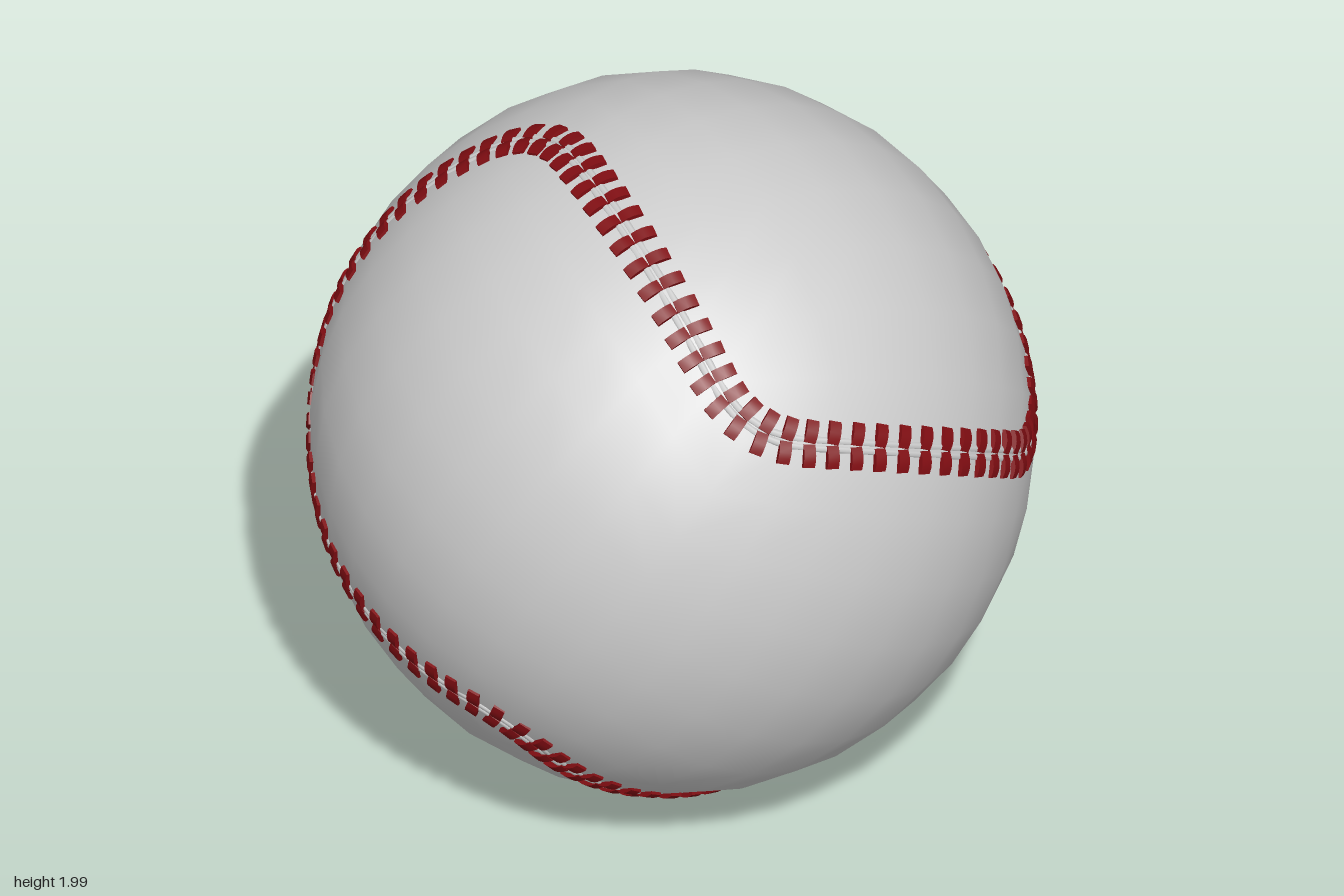
import * as THREE from 'three';
import { mergeGeometries } from 'three/addons/utils/BufferGeometryUtils.js';

const V = (x, y, z) => new THREE.Vector3(x, y, z);

// Tilted cube axes that orient both the ball's grid and its seam
const e1 = V(0.871, -0.469, -0.147).normalize();
const e2 = V(0.003, 0.304, -0.952);
e2.addScaledVector(e1, -e1.dot(e2)).normalize();
const e3 = e2.clone().cross(e1);

// Ball: a subdivided cube pushed out to a sphere, with smooth normals
function ballGeometry(radius, segments) {
  const g = new THREE.BoxGeometry(2, 2, 2, segments, segments, segments);
  const pos = g.attributes.position, p = V();
  for (let i = 0; i < pos.count; i++) {
    p.fromBufferAttribute(pos, i);
    // even out the angles between grid lines
    p.set(...p.toArray().map(c => Math.tan(c * Math.PI / 4))).normalize();
    g.attributes.normal.setXYZ(i, p.x, p.y, p.z);
    pos.setXYZ(i, p.x * radius, p.y * radius, p.z * radius);
  }
  return g.applyMatrix4(new THREE.Matrix4().makeBasis(e1, e2, e3.clone().negate()));
}

// Seam: a closed walk over all eight cube corners, rounded at each corner
function seamPoints(count) {
  const walk = [[e1, 1], [e2, 1], [e3, 1], [e2, -1], [e1, -1], [e2, 1], [e3, -1], [e2, -1]];
  const p = V().sub(e1).sub(e2).sub(e3);
  const corners = walk.map(([axis, s]) => {
    const c = p.clone();
    p.addScaledVector(axis, 2 * s);
    return c;
  });
  const path = new THREE.CurvePath(), round = 0.18;
  corners.forEach((c, i) => {
    const prev = corners[(i + 7) % 8], next = corners[(i + 1) % 8];
    const a = c.clone().lerp(prev, round), b = c.clone().lerp(next, round);
    path.add(new THREE.QuadraticBezierCurve3(a, c, b));
    path.add(new THREE.LineCurve3(b, next.clone().lerp(c, round)));
  });
  return path.getSpacedPoints(count).slice(0, count).map(q => q.normalize());
}

// Half stitch: a short bar arched along its length (local z)
function halfStitch(length) {
  const g = new THREE.BoxGeometry(0.035, 0.022, length, 1, 1, 4);
  const pos = g.attributes.position;
  for (let i = 0; i < pos.count; i++) {
    const t = 2 * pos.getZ(i) / length;
    pos.setY(i, pos.getY(i) - 0.008 * t * t);
  }
  g.computeVertexNormals();
  return g;
}

export function createModel() {
  const group = new THREE.Group();
  const grey = new THREE.MeshStandardMaterial({ color: 0xcccccc });
  const red = new THREE.MeshStandardMaterial({ color: 0x800d12 });
  const add = (name, geometry, material) => {
    const mesh = new THREE.Mesh(geometry, material);
    mesh.name = name;
    mesh.position.y = 1;
    group.add(mesh);
  };

  add('ball', ballGeometry(0.998, 8), grey);

  const points = seamPoints(128), n = points.length;
  const frames = points.map((up, i) => {
    const along = points[(i + 1) % n].clone().sub(points[(i + n - 1) % n]);
    along.addScaledVector(up, -along.dot(up)).normalize();
    return { up, along, side: along.clone().cross(up) };
  });

  // Two rolled leather lips with a fine groove between them
  for (const s of [1, -1]) {
    const lip = frames.map(f => f.up.clone().multiplyScalar(0.988).addScaledVector(f.side, s * 0.011));
    const curve = new THREE.CatmullRomCurve3(lip, true);
    add(s > 0 ? 'seamLipRight' : 'seamLipLeft', new THREE.TubeGeometry(curve, 256, 0.012, 8, true), grey);
  }

  // Mirrored pairs of stitches all along the seam
  const bars = [];
  for (const { up, along, side } of frames) {
    for (const s of [1, -1]) {
      const at = up.clone().addScaledVector(side, s * 0.034).normalize();
      const x = along.clone().addScaledVector(side, -s * 0.1).normalize();
      const z = x.clone().cross(at).normalize();
      const m = new THREE.Matrix4().makeBasis(z.clone().cross(at).negate(), at, z);
      bars.push(halfStitch(0.064).applyMatrix4(m.setPosition(at.multiplyScalar(0.996))));
    }
  }
  add('stitches', mergeGeometries(bars), red);
  return group;
}
